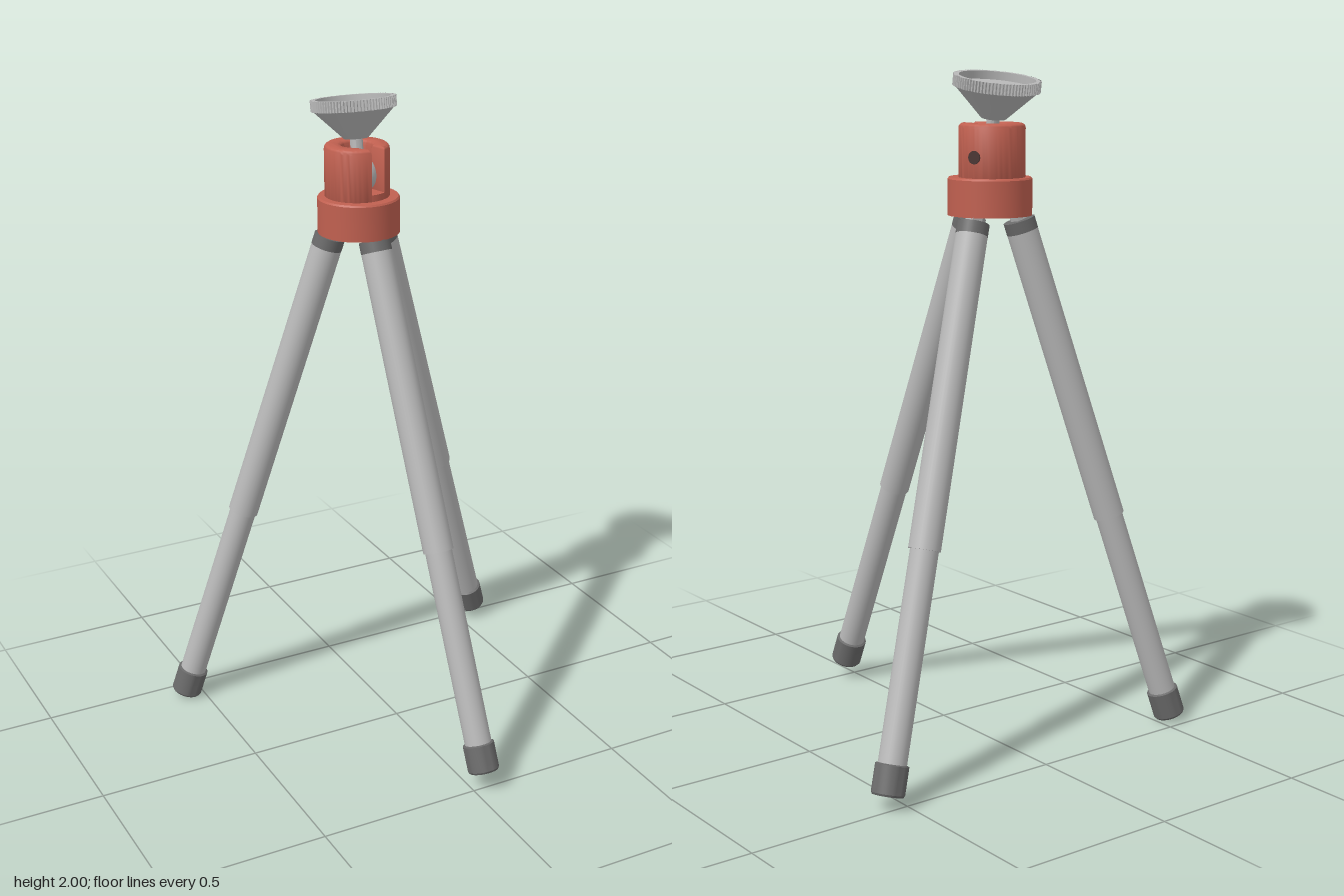
import * as THREE from 'three';
import { toCreasedNormals } from 'three/addons/utils/BufferGeometryUtils.js';

const material = (name, color, side = THREE.FrontSide) =>
  Object.assign(new THREE.MeshStandardMaterial({ color, side }), { name });

export function createModel() {
  const red = material('red plastic', 0xc06050);
  const metal = material('light metal', 0xb8b8b8);
  const rubber = material('dark rubber', 0x6a6a6a);
  const dark = material('dark hole', 0x4a3532);

  const model = new THREE.Group();
  model.name = 'tripod';

  const add = (parent, name, geometry, mat, x = 0, y = 0, z = 0) => {
    const mesh = new THREE.Mesh(geometry, mat);
    mesh.name = name;
    mesh.position.set(x, y, z);
    parent.add(mesh);
    return mesh;
  };
  const lathe = (points, segments = 48) => toCreasedNormals(
    new THREE.LatheGeometry(points.map(([r, y]) => new THREE.Vector2(r, y)), segments), 0.5);

  // Legs: two telescoping tubes with a rubber foot, a collar and a hinge lug
  const up = new THREE.Vector3(0, 1, 0);
  const addLeg = (name, foot, top) => {
    const start = new THREE.Vector3(...foot);
    const axis = new THREE.Vector3(...top).sub(start);
    const length = axis.length() + 0.02;
    const joint = length * 0.42;
    const leg = new THREE.Group();
    leg.name = name;
    leg.position.copy(start);
    leg.quaternion.setFromUnitVectors(up, axis.normalize());
    const tube = (part, r, from, to, mat) =>
      add(leg, part, new THREE.CylinderGeometry(r, r, to - from, 32), mat, 0, (from + to) / 2, 0);
    add(leg, 'foot', lathe([[0, 0], [0.044, 0], [0.048, 0.006], [0.048, 0.085], [0.041, 0.088]], 32), rubber);
    tube('lowerTube', 0.041, 0.08, joint + 0.02, metal);
    tube('upperTube', 0.0465, joint, length - 0.03, metal);
    tube('collar', 0.047, length - 0.035, length, rubber);
    add(leg, 'hingeLug', new THREE.BoxGeometry(0.035, 0.07, 0.035), metal, 0, length + 0.03, 0);
    model.add(leg);
  };
  addLeg('frontLeg', [0.038, 0.058, 0.493], [-0.018, 1.555, -0.098]);
  addLeg('leftLeg', [0.556, 0.042, -0.485], [0.07, 1.55, -0.23]);
  addLeg('rightLeg', [-0.554, 0.015, -0.438], [-0.113, 1.55, -0.225]);

  // Hollow base ring holding the hinges
  add(model, 'baseRing', lathe([
    [0, 1.655], [0.106, 1.655], [0.106, 1.585], [0.123, 1.585], [0.123, 1.69], [0.119, 1.695], [0, 1.695],
  ], 64), red, -0.031, 0, -0.182);

  // Ball housing with a slot open to the front and a rounded top edge
  const housing = new THREE.Group();
  housing.name = 'ballHousing';
  housing.position.set(-0.032, 0, -0.189);
  housing.rotation.y = 0.26;
  model.add(housing);
  const R = 0.097, cavity = 0.045, half = 0.025, bevel = 0.014;
  const outer = Math.asin(half / R), inner = Math.asin(half / cavity), down = -Math.PI / 2;
  const plan = new THREE.Shape();
  plan.absarc(0, 0, R, down + outer, down - outer + 2 * Math.PI, false);
  plan.absarc(0, 0, cavity, down - inner + 2 * Math.PI, down + inner, true);
  plan.closePath();
  const shell = new THREE.ExtrudeGeometry(plan, {
    depth: 0.17 - 2 * bevel, bevelSize: bevel, bevelThickness: bevel,
    bevelOffset: -bevel, bevelSegments: 4, curveSegments: 40,
  });
  shell.rotateX(-Math.PI / 2);
  add(housing, 'slottedShell', toCreasedNormals(shell, 0.6), red, 0, 1.68 + bevel, 0);
  add(housing, 'slotFloor', new THREE.CylinderGeometry(0.0965, 0.0965, 0.03, 64), red, 0, 1.7, 0);

  // Clamp screw hole on the side
  const hole = add(housing, 'screwHole', new THREE.CylinderGeometry(0.019, 0.019, 0.008, 24), dark);
  const angle = 0.1;
  hole.rotation.set(0, angle, Math.PI / 2);
  hole.position.set(0.0955 * Math.cos(angle), 1.755, -0.0955 * Math.sin(angle));

  // Ball head, tilted towards the back
  const head = new THREE.Group();
  head.name = 'ballHead';
  head.position.set(-0.029, 1.758, -0.182);
  head.rotation.x = -0.157;
  model.add(head);
  add(head, 'ball', new THREE.SphereGeometry(0.056, 32, 20), metal);
  add(head, 'mountingPlate', lathe([
    [0.019, 0], [0.019, 0.106], [0.036, 0.106], [0.121, 0.192], [0.115, 0.2],
    [0.03, 0.2], [0.03, 0.165], [0, 0.165],
  ], 64), metal);

  // Knurled rim around the plate
  const teeth = 80;
  const rimShape = new THREE.Shape();
  for (let i = 0; i < teeth * 4; i++) {
    const r = i % 4 < 2 ? 0.127 : 0.122;
    const a = (i / (teeth * 4)) * Math.PI * 2;
    rimShape[i ? 'lineTo' : 'moveTo'](r * Math.cos(a), r * Math.sin(a));
  }
  rimShape.closePath();
  rimShape.holes.push(new THREE.Path().absarc(0, 0, 0.111, 0, Math.PI * 2, true));
  const rim = new THREE.ExtrudeGeometry(rimShape, { depth: 0.032, bevelEnabled: false, curveSegments: 32 });
  rim.rotateX(-Math.PI / 2);
  add(head, 'knurledRim', toCreasedNormals(rim, 0.4), metal, 0, 0.192, 0);

  return model;
}
